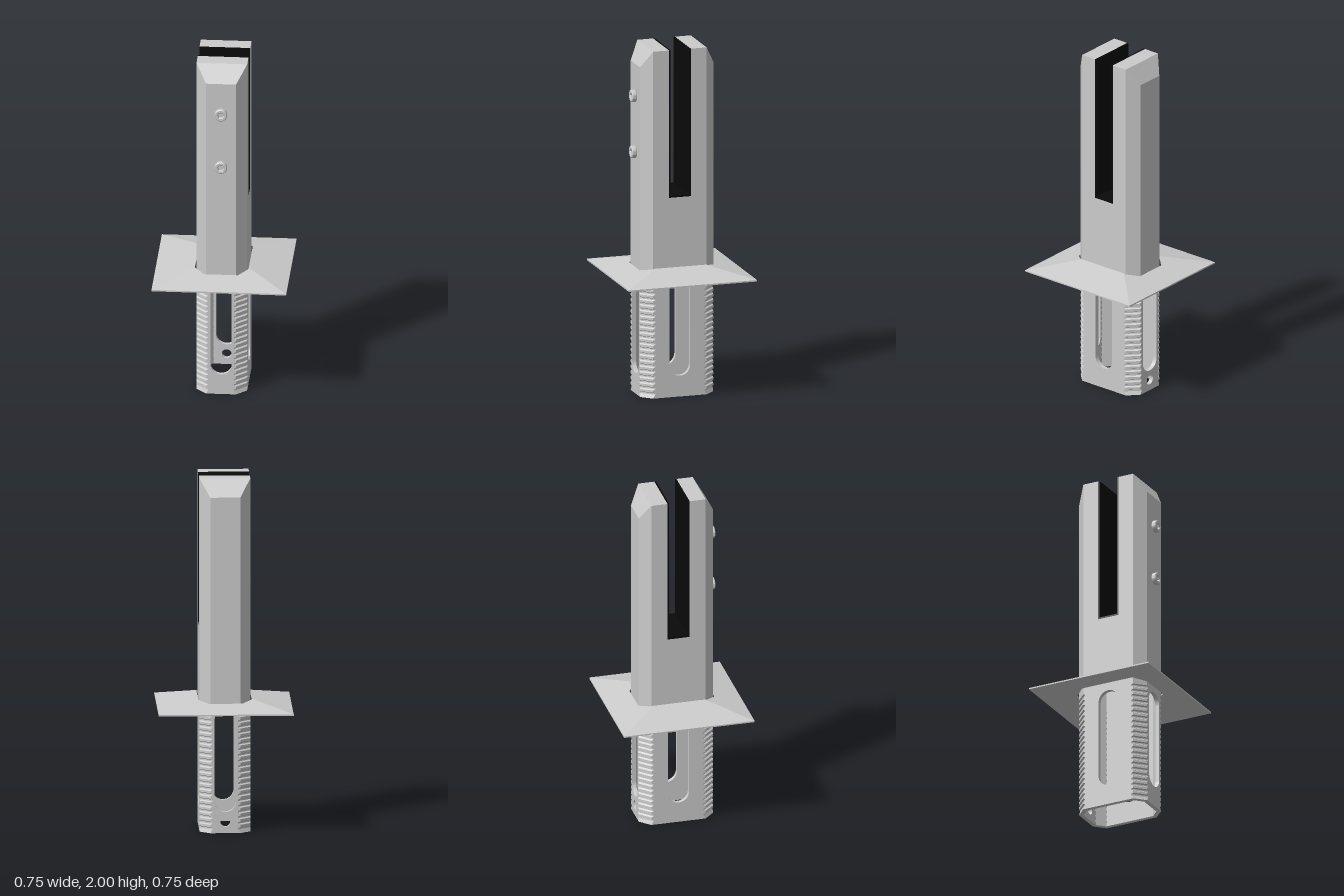
import * as THREE from 'three';
import { toCreasedNormals } from 'three/addons/utils/BufferGeometryUtils.js';
import { ConvexGeometry } from 'three/addons/geometries/ConvexGeometry.js';

const HX = 0.142, HZ = 0.215;   // half sizes of the post
const CUT = 0.058, GROOVE = 0.07; // corner cut, and corner cut inside a groove
const T = 0.024;                // wall thickness
const LEG_TOP = 0.72;

const grey = new THREE.MeshStandardMaterial({ color: 0xcccccc });
const black = new THREE.MeshStandardMaterial({ color: 0x0a0a0a });

function add(parent, name, geometry, material = grey) {
  const mesh = new THREE.Mesh(geometry, material);
  mesh.name = name;
  parent.add(mesh);
  return mesh;
}

// Skin a row of equal cross-sections with flat faces; closed joins last to first
function loft(sections, closed) {
  const pos = [], n = sections[0].length;
  const tri = (...pts) => pts.forEach(p => pos.push(...p));
  const count = sections.length;
  for (let s = 0; s < (closed ? count : count - 1); s++) {
    const a = sections[s], b = sections[(s + 1) % count];
    for (let i = 0; i < n; i++) {
      const j = (i + 1) % n;
      tri(a[i], a[j], b[j]);
      tri(a[i], b[j], b[i]);
    }
  }
  if (!closed) {
    const a = sections[0], b = sections[count - 1];
    for (let i = 1; i < n - 1; i++) {
      tri(a[0], a[i + 1], a[i]);
      tri(b[0], b[i], b[i + 1]);
    }
  }
  const g = new THREE.BufferGeometry();
  g.setAttribute('position', new THREE.Float32BufferAttribute(pos, 3));
  g.computeVertexNormals();
  return g;
}

// Octagon outline: a rectangle with cut corners
function octagon(hx, hz, c) {
  return [[hx, c - hz], [hx, hz - c], [hx - c, hz], [c - hx, hz],
    [-hx, hz - c], [-hx, c - hz], [c - hx, -hz], [hx - c, -hz]]
    .map(p => new THREE.Vector2(...p));
}

// Heights and corner cuts of the toothed leg corners
function toothSteps() {
  const steps = [[0, CUT]], teeth = 22, start = 0.015, pitch = (LEG_TOP - start) / teeth;
  for (let i = 0; i < teeth; i++) {
    const y = start + i * pitch;
    steps.push([y + 0.2 * pitch, GROOVE], [y + 0.45 * pitch, GROOVE],
      [y + 0.6 * pitch, CUT], [y + pitch, CUT]);
  }
  return steps;
}

// Flat leg wall with toothed edges, a long slot and maybe a fixing hole
function wallGeometry(half, steps, withHole) {
  const right = steps.map(([y, c]) => new THREE.Vector2(half - c, y));
  const left = steps.map(([y, c]) => new THREE.Vector2(c - half, y)).reverse();
  const shape = new THREE.Shape([...right, ...left]);
  const r = 0.06, slot = new THREE.Path();
  slot.absarc(0, 0.12 + r, r, Math.PI, 2 * Math.PI, false);
  slot.absarc(0, 0.70 - r, r, 0, Math.PI, false);
  slot.closePath();
  shape.holes.push(slot);
  if (withHole) shape.holes.push(new THREE.Path().absarc(0, 0.063, 0.027, 0, 2 * Math.PI, false));
  const g = new THREE.ExtrudeGeometry(shape, { depth: T, bevelEnabled: false, curveSegments: 16 });
  return toCreasedNormals(g, 0.4);
}

function createLeg() {
  const leg = new THREE.Group();
  leg.name = 'groundSleeve';
  const steps = toothSteps();
  ['frontWall', 'leftWall', 'backWall', 'rightWall'].forEach((name, k) => {
    const [half, out] = k % 2 ? [HZ, HX] : [HX, HZ];
    const g = wallGeometry(half, steps, k === 2);
    g.translate(0, 0, out - T);
    g.rotateY(k * Math.PI / 2);
    add(leg, name, g);
  });
  const inset = CUT + T * Math.tan(Math.PI / 8);
  for (const sx of [1, -1]) for (const sz of [1, -1]) {
    const sections = steps.map(([y, c]) => {
      const ring = [[HX - c, HZ], [HX, HZ - c], [HX - T, HZ - inset], [HX - inset, HZ - T]]
        .map(([x, z]) => [sx * x, y, sz * z]);
      return sx * sz > 0 ? ring : ring.reverse();
    });
    add(leg, 'toothedCorner', loft(sections));
  }
  return leg;
}

function createPost() {
  const post = new THREE.Group();
  post.name = 'post';
  // Hollow lower part and the solid floor under the slot
  const prism = (shape, y0, y1) => new THREE.ExtrudeGeometry(shape, { depth: y1 - y0, bevelEnabled: false })
    .rotateX(-Math.PI / 2).translate(0, y0, 0);
  const tube = new THREE.Shape(octagon(HX, HZ, CUT));
  tube.holes.push(new THREE.Path(octagon(HX - T, HZ - T, CUT - T * 0.586)));
  add(post, 'postTube', prism(tube, LEG_TOP, 1.1));
  add(post, 'slotFloor', prism(new THREE.Shape(octagon(HX, HZ, CUT)), 1.1, 1.15));
  // Two clamping jaws with sloped tops
  for (const s of [1, -1]) {
    const pts = [];
    for (const x of [1, -1]) {
      for (const y of [1.15, 2]) {
        pts.push(new THREE.Vector3(x * HX, y, s * 0.064), new THREE.Vector3(x * HX, y, s * (HZ - CUT)));
      }
      for (const y of [1.15, 1.9]) pts.push(new THREE.Vector3(x * (HX - CUT), y, s * HZ));
    }
    add(post, s > 0 ? 'frontJaw' : 'backJaw', new ConvexGeometry(pts));
  }
  // Rubber lining of the slot
  const a = 0.064, b = 0.054;
  const u = new THREE.Shape([[-a, 1.15], [a, 1.15], [a, 2], [b, 2], [b, 1.16], [-b, 1.16], [-b, 2], [-a, 2]]
    .map(p => new THREE.Vector2(...p)));
  const lining = new THREE.ExtrudeGeometry(u, { depth: 2 * HX, bevelEnabled: false });
  add(post, 'slotLining', lining.translate(0, 0, -HX).rotateY(Math.PI / 2), black);
  return post;
}

// Thin pyramid-shaped cover plate with an octagonal opening
function coverGeometry() {
  const E = 0.377, corner = [[0.15, 0.15], [0.15, 0.162], [0.095, 0.221]];
  const sections = [];
  for (const [sx, sz] of [[1, 1], [-1, 1], [-1, -1], [1, -1]]) {
    const pts = sx * sz > 0 ? corner : [...corner].reverse();
    for (const [px, pz] of pts) {
      const x = sx * px, z = sz * pz, m = Math.max(px, pz);
      const k = E / m, h = 0.698 + (E - m) * 0.23;
      sections.push([[x * k, 0.698, z * k], [x, h, z], [x, h - 0.008, z], [x * k, 0.69, z * k]]);
    }
  }
  return loft(sections, true);
}

// Round bolt head with a hexagonal socket
function createBolt(y) {
  const bolt = new THREE.Group();
  bolt.name = 'clampBolt';
  const shape = new THREE.Shape().absarc(0, 0, 0.031, 0, 2 * Math.PI, false);
  const hex = [];
  for (let i = 0; i < 6; i++) {
    const t = i * Math.PI / 3;
    hex.push(new THREE.Vector2(0.022 * Math.cos(t), 0.022 * Math.sin(t)));
  }
  shape.holes.push(new THREE.Path(hex));
  const head = new THREE.ExtrudeGeometry(shape, {
    depth: 0.02, bevelThickness: 0.004, bevelSize: 0.004, bevelSegments: 1, curveSegments: 16,
  });
  add(bolt, 'boltHead', toCreasedNormals(head, 0.5));
  add(bolt, 'socketFloor', new THREE.CircleGeometry(0.026, 24)).position.z = 0.006;
  bolt.position.set(0, y, HZ + 0.004);
  return bolt;
}

export function createModel() {
  const model = new THREE.Group();
  model.name = 'glassPanelPost';
  model.add(createLeg(), createPost());
  add(model, 'coverPlate', coverGeometry());
  for (const y of [1.395, 1.717]) model.add(createBolt(y));
  return model;
}
